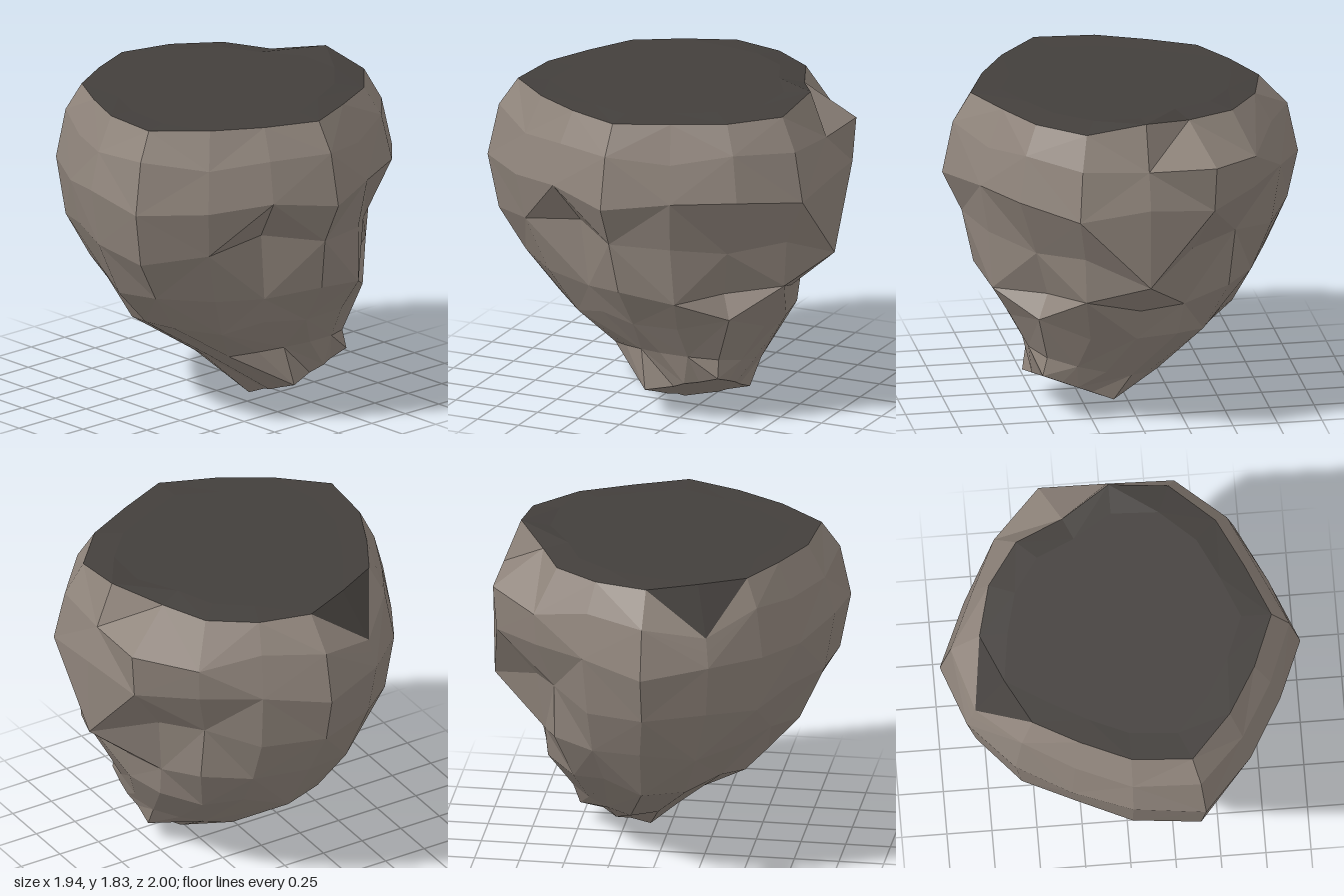
import * as THREE from 'three';

const N = 16; // corners per ring; 0 is +x, 4 is the front, 8 is -x, 12 is the back

// Widest outline of the rock, as a radius per corner
const outline = [.97, 1.03, .97, .92, 1, .93, .95, 1.05, .94, .86, .89, .95, 1, .91, .9, .97];

// Rings from foot to rim: height, centre x, centre z, outline scale, slope along z
const rings = [
  [0.13, 0.3, 0.33, 0.22, 0.41],
  [0.29, 0.17, 0.18, 0.4, 0.25],
  [0.53, 0.05, 0.03, 0.65, 0.06],
  [0.77, 0.03, 0.01, 0.82, 0],
  [1.05, 0, 0, 0.94, 0],
  [1.35, 0, 0, 1, 0],
  [1.6, 0, 0, 0.94, 0],
  [1.78, 0, 0, 0.84, 0],
];

// Chipped and bulging corners: ring, corner, change of radius, change of height
const chips = [
  // four-cornered foot and its flat front
  [0, 2, .06, 0], [0, 6, .12, 0], [0, 10, .07, 0], [0, 14, .09, 0],
  [1, 2, .06, 0], [1, 3, .06, 0], [2, 2, .12, .04], [2, 3, .1, .03],
  // undercut and groove on the left
  [3, 0, -.12, -.05], [3, 2, -.1, 0], [3, 15, -.13, -.1],
  [4, 0, .05, -.15], [4, 1, -.07, 0], [4, 2, -.1, 0], [4, 14, -.07, 0], [4, 15, -.17, 0],
  // front ridge and the hollow beside it
  [3, 3, .08, 0], [3, 5, -.07, 0], [4, 4, -.05, .05], [4, 5, -.15, .1],
  // bevelled corner and dipped rim at the back
  [6, 11, .03, -.12], [6, 14, .07, -.03], [6, 15, .08, -.04],
  [7, 0, 0, .05], [7, 11, .1, -.25], [7, 12, -.06, 0], [7, 15, -.11, 0],
];

function ringPoints([y, cx, cz, scale, slopeZ], row) {
  const slopeX = row === 0 ? 0.3 : 0;
  // Uneven heights on the middle rings only
  const uneven = row > 1 && row < 7 ? 0.03 : 0;
  return outline.map((base, k) => {
    let radius = base * scale;
    let height = y + uneven * Math.sin(k * 2.3 + row * 1.7);
    for (const [r, corner, dr, dy] of chips) {
      if (r === row && corner === k) {
        radius += dr;
        height += dy;
      }
    }
    const a = (k / N) * Math.PI * 2;
    const x = Math.cos(a) * radius, z = Math.sin(a) * radius;
    return [cx + x, Math.max(0, height + slopeX * x + slopeZ * z), cz + z];
  });
}

function facetedMesh(name, triangles, color) {
  const geometry = new THREE.BufferGeometry();
  geometry.setAttribute('position', new THREE.Float32BufferAttribute(triangles.flat(2), 3));
  geometry.computeVertexNormals();
  const mesh = new THREE.Mesh(geometry, new THREE.MeshStandardMaterial({ color, flatShading: true }));
  mesh.name = name;
  return mesh;
}

// Joins two rings; the diagonals alternate for an irregular, chiselled look
function band(lower, upper, row) {
  return lower.flatMap((a, k) => {
    const n = (k + 1) % N;
    const b = lower[n], c = upper[n], d = upper[k];
    return (k + row) % 2 ? [[a, d, b], [b, d, c]] : [[a, d, c], [a, c, b]];
  });
}

export function createModel() {
  const group = new THREE.Group();
  group.name = 'rock';
  const loops = rings.map(ringPoints);

  // Rocky sides and the slanted underside of the foot
  const sides = [];
  for (let i = 0; i < loops.length - 1; i++) sides.push(...band(loops[i], loops[i + 1], i));
  loops[0].forEach((p, k) => sides.push([[0.3, 0.13, 0.33], p, loops[0][(k + 1) % N]]));
  group.add(facetedMesh('rockBody', sides, 0x8f847b));

  // Nearly flat dark top that dips to the low rim at the back
  const rim = loops[loops.length - 1];
  const inner = rim.map(([x, , z]) => [x * 0.8, 1.79 + 0.02 * x, z * 0.8]);
  const top = band(rim, inner, 0);
  inner.forEach((p, k) => top.push([[0, 1.79, 0], inner[(k + 1) % N], p]));
  group.add(facetedMesh('flatTop', top, 0x433f3c));

  return group;
}
